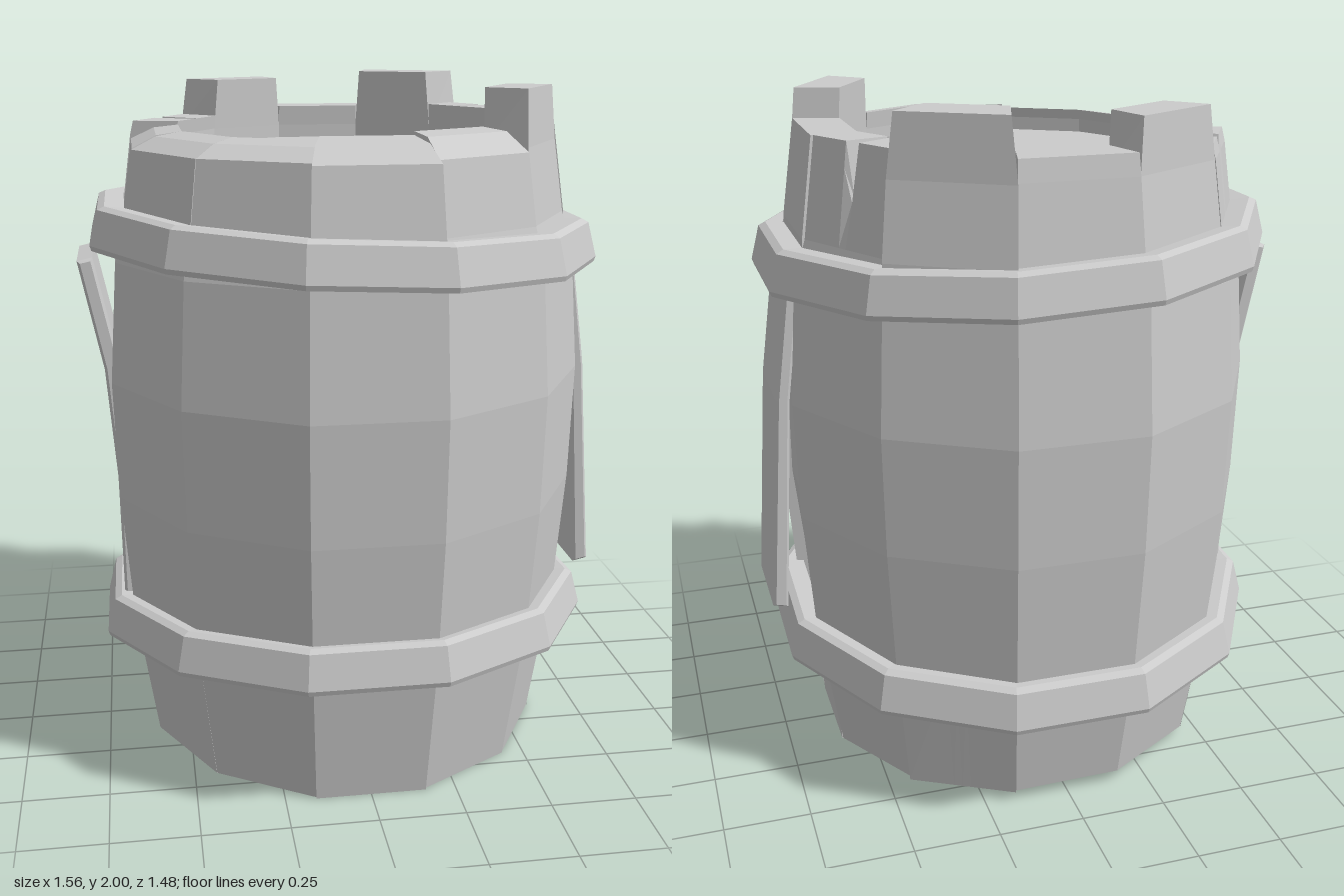
import * as THREE from 'three';

const material = new THREE.MeshStandardMaterial({ color: 0xcccccc, flatShading: true, side: THREE.DoubleSide });
const STEP = Math.PI / 6;
const CORNER = 1 / Math.cos(STEP / 2); // flat-to-corner ratio of a 12-gon

// One entry per stave, counted from the front towards +x:
// top height, height drop of the outer rim edge, outward push, notch depth
const STAVES = [
  { top: 1.87, drop: 0.05, push: 0.025 },
  { top: 1.88, drop: 0.03 },
  { top: 1.985, push: 0.005, tooth: true },
  { top: 1.9, inset: 0.04 },
  { top: 1.9, notch: 0.15 },
  { top: 2.0, push: 0.025, tooth: true },
  { top: 1.89, push: 0.01 },
  { top: 1.98, tooth: true },
  { top: 1.87, notch: 0.1, push: 0.01 },
  { top: 1.86, drop: 0.03, inset: 0.03 },
  { top: 1.86, drop: 0.04, push: 0.01 },
  { top: 1.86, drop: 0.04 },
];

// Closed curved board, lofted from rows of outer and inner points
function staveGeometry(k, { top, drop = 0, push = 0, notch = 0, inset = 0, tooth = false }) {
  const p = push + (k % 2 ? 0.004 : -0.004);
  const rimR = drop ? 0.55 : 0.61;
  // each row: outer radius, outer y, inner radius, inner y
  const rows = [
    [0.605 + p * 0.4, 0, 0.53, 0],
    [0.67 - inset, 0.42, 0.54, 0.42],
    [0.70 - inset * 0.7, 0.8, 0.54, 0.8],
    [0.71 - inset, 1.15, 0.54, 1.15],
    [0.685 - inset * 0.7, 1.5, 0.51, 1.5],
    [0.65 + p, 1.62, 0.49, 1.62],
    [0.62 + p, 1.83 - drop * 0.4, 0.485, 1.83],
    [rimR + p, top - drop * 0.3, 0.48, top],
  ];
  const cols = [-1, -0.16, 0, 0.16, 1];
  const a = k * STEP, sin = Math.sin(a), cos = Math.cos(a);
  const last = rows.length - 1;
  const point = (i, j, inner) => {
    const r = rows[j][inner ? 2 : 0];
    let y = rows[j][inner ? 3 : 1];
    let w = r * Math.tan(STEP / 2) * cols[i];
    if (tooth && j === last) w *= 0.9;
    const x = r * sin + w * cos, z = r * cos - w * sin;
    if (j === 0) y = Math.max(0, 0.015 - 0.03 * z - 0.015 * x); // worn, uneven foot
    if (notch && i === 2 && j === last && !inner) y -= notch;
    if (notch && i === 2 && j === last - 1 && !inner) y -= notch * 0.6;
    return [x, y, z];
  };
  const pos = [];
  const quad = (A, B, C, D) => pos.push(...A, ...B, ...C, ...A, ...C, ...D);
  const n = cols.length - 1;
  for (let j = 0; j < last; j++) {
    for (let i = 0; i < n; i++) {
      quad(point(i, j), point(i + 1, j), point(i + 1, j + 1), point(i, j + 1));
      quad(point(i + 1, j, 1), point(i, j, 1), point(i, j + 1, 1), point(i + 1, j + 1, 1));
    }
    // side faces
    quad(point(n, j), point(n, j, 1), point(n, j + 1, 1), point(n, j + 1));
    quad(point(0, j, 1), point(0, j), point(0, j + 1), point(0, j + 1, 1));
  }
  // top and bottom ends
  for (let i = 0; i < n; i++) {
    quad(point(i, last), point(i + 1, last), point(i + 1, last, 1), point(i, last, 1));
    quad(point(i + 1, 0), point(i, 0), point(i, 0, 1), point(i + 1, 0, 1));
  }
  const g = new THREE.BufferGeometry();
  g.setAttribute('position', new THREE.Float32BufferAttribute(pos, 3));
  g.computeVertexNormals();
  return g;
}

function add(parent, name, geometry) {
  const mesh = new THREE.Mesh(geometry, material);
  mesh.name = name;
  parent.add(mesh);
  return mesh;
}

// Twelve-sided band, tilted by a slope in x and z
function hoop(parent, name, y0, slopeX, slopeZ) {
  const profile = [[0.65, -0.055], [0.735, -0.06], [0.74, -0.045], [0.715, 0.055], [0.695, 0.065], [0.64, 0.06]]
    .map(([r, y]) => new THREE.Vector2(r * CORNER, y));
  const g = new THREE.LatheGeometry(profile, 12, STEP / 2).toNonIndexed();
  const p = g.attributes.position;
  for (let i = 0; i < p.count; i++) {
    p.setY(i, p.getY(i) + y0 + slopeX * p.getX(i) + slopeZ * p.getZ(i));
  }
  g.computeVertexNormals();
  add(parent, name, g);
}

// Loose bent board, drawn from its side outline
function plank(parent, name, outline) {
  const shape = new THREE.Shape(outline.map(([x, y]) => new THREE.Vector2(x, y)));
  const g = new THREE.ExtrudeGeometry(shape, {
    depth: 0.28, bevelThickness: 0.01, bevelSize: 0.008, bevelOffset: -0.008, bevelSegments: 1,
  });
  g.translate(0, 0, -0.14);
  add(parent, name, g);
}

export function createModel() {
  const model = new THREE.Group();
  model.name = 'barrel';

  const staves = new THREE.Group();
  staves.name = 'staves';
  staves.scale.x = 0.98;
  model.add(staves);
  STAVES.forEach((s, k) => add(staves, `stave${k + 1}`, staveGeometry(k, s)));

  // Core whose ends form the sunken lid and base
  const core = new THREE.CylinderGeometry(0.53, 0.57, 1.73, 12, 1, false, STEP / 2);
  core.translate(0, 0.06 + 1.73 / 2, 0);
  add(model, 'lidAndBase', core);

  hoop(model, 'upperHoop', 1.565, -0.045, -0.005);
  hoop(model, 'lowerHoop', 0.41, 0, 0.055);

  plank(model, 'leftLoosePlank', [[0.655, 1.46], [0.695, 1.15], [0.735, 0.49], [0.78, 0.5], [0.735, 1.15], [0.69, 1.48]]);
  plank(model, 'rightLoosePlank', [[-0.735, 1.51], [-0.78, 1.5], [-0.715, 1.18], [-0.69, 0.85], [-0.685, 0.45], [-0.64, 0.45], [-0.645, 0.85], [-0.67, 1.2]]);
  return model;
}
